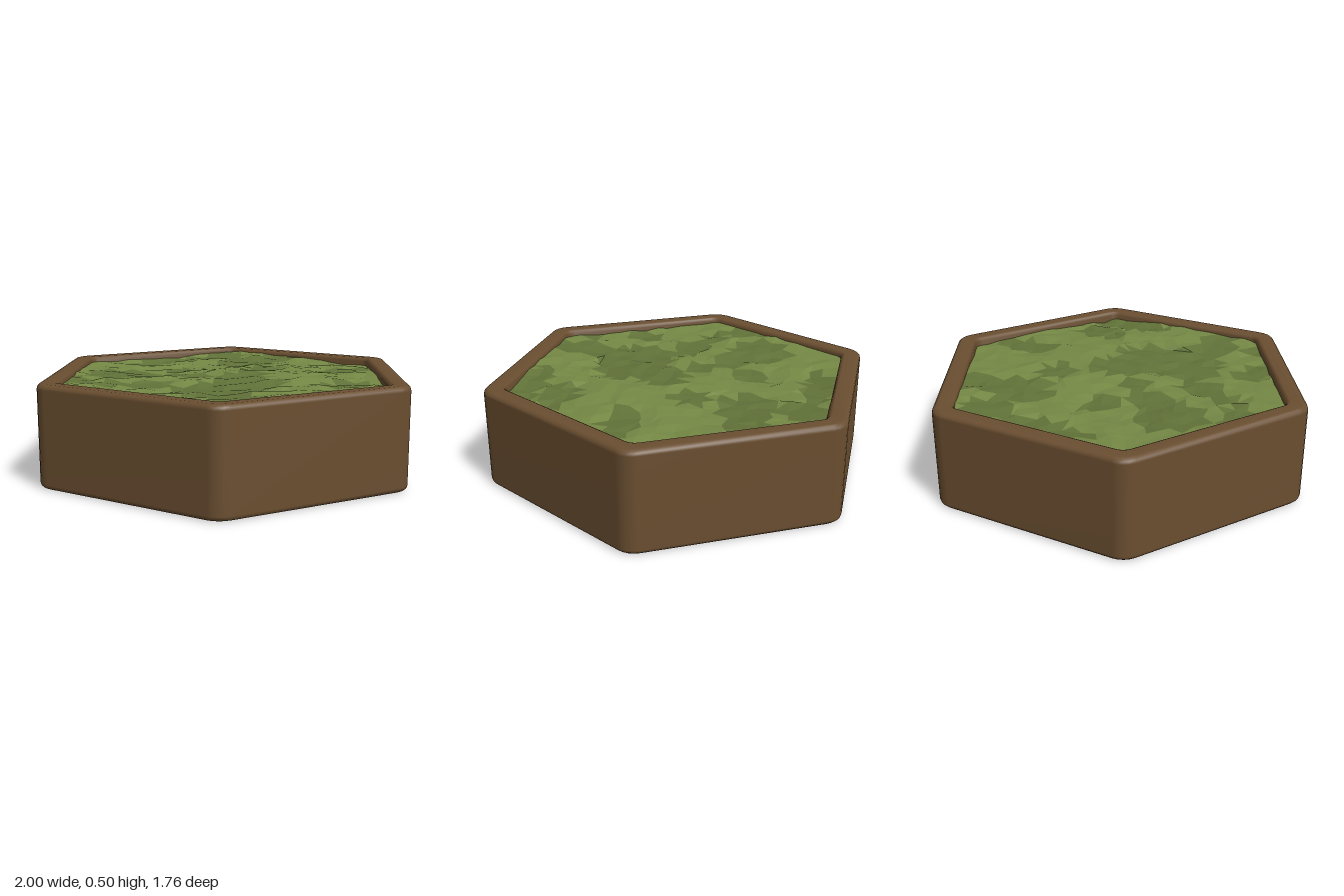
import * as THREE from 'three';

const COS30 = Math.cos(Math.PI / 6);

// Small seeded generator for repeatable jitter
function seeded(seed) {
  return () => {
    seed = (seed * 16807) % 2147483647;
    return seed / 2147483647;
  };
}

// Hexagon outline with filleted corners, pointing along x
function hexRing(apothem, y, fillet, steps = 4) {
  const points = [];
  for (let k = 0; k < 6; k++) {
    const dir = (k * Math.PI) / 3;
    const centre = (apothem - fillet) / COS30;
    for (let s = 0; s <= steps; s++) {
      const a = dir + (s / steps - 0.5) * (Math.PI / 3);
      points.push([centre * Math.cos(dir) + fillet * Math.cos(a), y, centre * Math.sin(dir) + fillet * Math.sin(a)]);
    }
  }
  return points;
}

// Skin a stack of rings, bottom outwards and up
function loft(rings) {
  const n = rings[0].length;
  const index = [];
  for (let r = 0; r < rings.length - 1; r++) {
    for (let i = 0; i < n; i++) {
      const a = r * n + i, b = r * n + ((i + 1) % n);
      index.push(a, a + n, b, b, a + n, b + n);
    }
  }
  const g = new THREE.BufferGeometry();
  g.setAttribute('position', new THREE.Float32BufferAttribute(rings.flat(2), 3));
  g.setIndex(index);
  g.computeVertexNormals();
  return g;
}

// Earth block: underside, rounded edges, walls, rim and inner wall
function createBlock() {
  const H = 0.505, A = 0.88, B = 0.025;
  const rings = [hexRing(0, 0, 0), hexRing(A - B - 0.03, 0, 0.08)];
  for (let s = 0; s <= 3; s++) {
    const t = (s / 3) * Math.PI / 2;
    rings.push(hexRing(A - B + B * Math.sin(t), B - B * Math.cos(t), 0.1));
  }
  for (let s = 0; s <= 3; s++) {
    const t = (s / 3) * Math.PI / 2;
    rings.push(hexRing(A - B + B * Math.cos(t), H - B + B * Math.sin(t), 0.1));
  }
  rings.push(hexRing(0.8, H, 0.06), hexRing(0.79, H - 0.005, 0.06));
  rings.push(hexRing(0.78, H - 0.018, 0.055), hexRing(0.775, 0.41, 0.05));
  const material = new THREE.MeshStandardMaterial({ color: 0x6a4e30 });
  const mesh = new THREE.Mesh(loft(rings), material);
  mesh.name = 'earthBlock';
  return mesh;
}

// Darker grass patches: x, z, half width, half depth
const PATCHES = [
  [0.0, -0.7, 0.24, 0.08], [0.35, -0.67, 0.14, 0.11], [-0.45, -0.33, 0.17, 0.17],
  [-0.27, -0.2, 0.12, 0.09], [-0.08, -0.35, 0.08, 0.1], [0.37, -0.4, 0.2, 0.15],
  [0.3, -0.12, 0.1, 0.1], [-0.73, -0.2, 0.08, 0.13], [-0.62, -0.05, 0.09, 0.07],
  [-0.45, 0.04, 0.14, 0.1], [-0.12, -0.07, 0.1, 0.07], [0.05, 0.08, 0.14, 0.13],
  [-0.15, 0.3, 0.3, 0.2], [-0.28, 0.6, 0.12, 0.2], [0.65, 0.13, 0.17, 0.09],
  [0.3, 0.71, 0.26, 0.08], [0.4, 0.52, 0.14, 0.1], [-0.55, 0.65, 0.12, 0.07],
  [0.6, -0.45, 0.06, 0.13], [-0.6, 0.36, 0.08, 0.1],
];
const inPatch = (x, z) => PATCHES.some(([px, pz, w, d]) => ((x - px) / w) ** 2 + ((z - pz) / d) ** 2 < 1);

// Uneven faceted turf on a jittered triangular lattice, split by tone
function createGrass() {
  const rand = seeded(71);
  const N = 12, R = 0.788 / COS30, cell = R / N;
  const positions = [], ids = new Map();
  const key = (q, r) => q + ',' + r;
  for (let r = -N; r <= N; r++) {
    for (let q = -N; q <= N; q++) {
      if (Math.abs(q + r) > N) continue;
      const edge = Math.max(Math.abs(q), Math.abs(r), Math.abs(q + r)) === N;
      const jitter = edge ? 0 : cell * 0.65;
      const x = cell * (q + r / 2) + (rand() - 0.5) * jitter;
      const z = cell * r * COS30 + (rand() - 0.5) * jitter;
      const wave = 0.008 * Math.sin(5 * x + 2 * z) + 0.006 * Math.cos(7 * z - 3 * x);
      const y = 0.475 + wave + (rand() - 0.5) * 0.014 - (inPatch(x, z) ? 0.008 : 0);
      ids.set(key(q, r), positions.length / 3);
      positions.push(x, y, z);
    }
  }

  const tones = { light: [], dark: [] };
  const addTriangle = (...corners) => {
    const t = corners.map(([q, r]) => ids.get(key(q, r)));
    if (t.includes(undefined)) return;
    const mid = (axis) => t.reduce((sum, i) => sum + positions[i * 3 + axis], 0) / 3;
    tones[inPatch(mid(0), mid(2)) ? 'dark' : 'light'].push(...t);
  };
  for (let r = -N; r <= N; r++) {
    for (let q = -N; q <= N; q++) {
      addTriangle([q, r], [q, r + 1], [q + 1, r]);
      addTriangle([q + 1, r], [q, r + 1], [q + 1, r + 1]);
    }
  }

  const grass = new THREE.Group();
  grass.name = 'grass';
  const colors = { light: 0x758945, dark: 0x627339 };
  for (const tone of ['light', 'dark']) {
    const g = new THREE.BufferGeometry();
    g.setAttribute('position', new THREE.Float32BufferAttribute(positions, 3));
    g.setIndex(tones[tone]);
    g.computeVertexNormals();
    const material = new THREE.MeshStandardMaterial({ color: colors[tone], flatShading: true, side: THREE.DoubleSide });
    const mesh = new THREE.Mesh(g, material);
    mesh.name = tone + 'Grass';
    grass.add(mesh);
  }
  return grass;
}

export function createModel() {
  const model = new THREE.Group();
  model.name = 'hexGrassTile';
  model.add(createBlock(), createGrass());
  return model;
}
